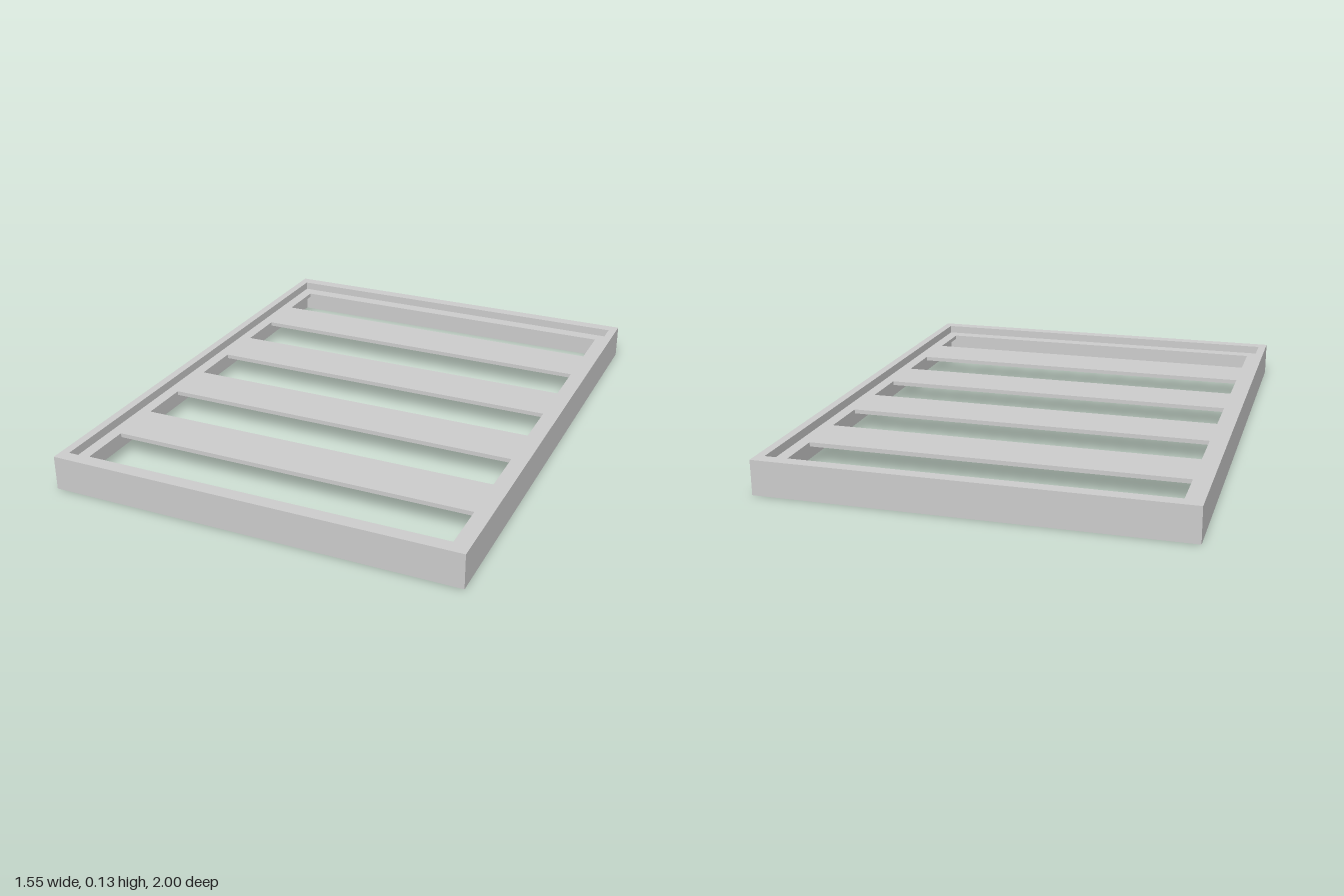
import * as THREE from 'three';

const W = 0.777, D = 1, H = 0.13;         // outer half width, half depth, height
const IW = 0.745, ID = 0.953;             // inside of the rim
const LW = 0.70, LD = 0.905;              // inside of the ledge
const PANEL_TOP = 0.098, PANEL_THICK = 0.016;

const material = new THREE.MeshStandardMaterial({ color: 0xcccccc, flatShading: true });

// Rectangle outline from its half width and z range
function rect(PathType, hw, z0, z1) {
  const p = new PathType();
  p.moveTo(-hw, z0);
  p.lineTo(hw, z0);
  p.lineTo(hw, z1);
  p.lineTo(-hw, z1);
  p.closePath();
  return p;
}

// Horizontal plate with holes, lying between y and y + height
function plate(name, shape, y, height) {
  const geo = new THREE.ExtrudeGeometry(shape, { depth: height, bevelEnabled: false });
  geo.rotateX(-Math.PI / 2);
  geo.translate(0, y, 0);
  const mesh = new THREE.Mesh(geo, material);
  mesh.name = name;
  return mesh;
}

export function createModel() {
  const model = new THREE.Group();
  model.name = 'slattedFrame';

  // Tall outer rim
  const rim = rect(THREE.Shape, W, -D, D);
  rim.holes.push(rect(THREE.Path, IW, -ID, ID));
  model.add(plate('outerRim', rim, 0, H));

  // Inner ledge with four flush cross slats, left between five openings
  const panel = rect(THREE.Shape, IW, -ID, ID);
  for (let i = 0; i < 5; i++) {
    const z = -0.8 + i * 0.4;
    panel.holes.push(rect(THREE.Path, LW, Math.max(z - 0.1, -LD), Math.min(z + 0.1, LD)));
  }
  model.add(plate('ledgeAndSlats', panel, PANEL_TOP - PANEL_THICK, PANEL_THICK));

  return model;
}
